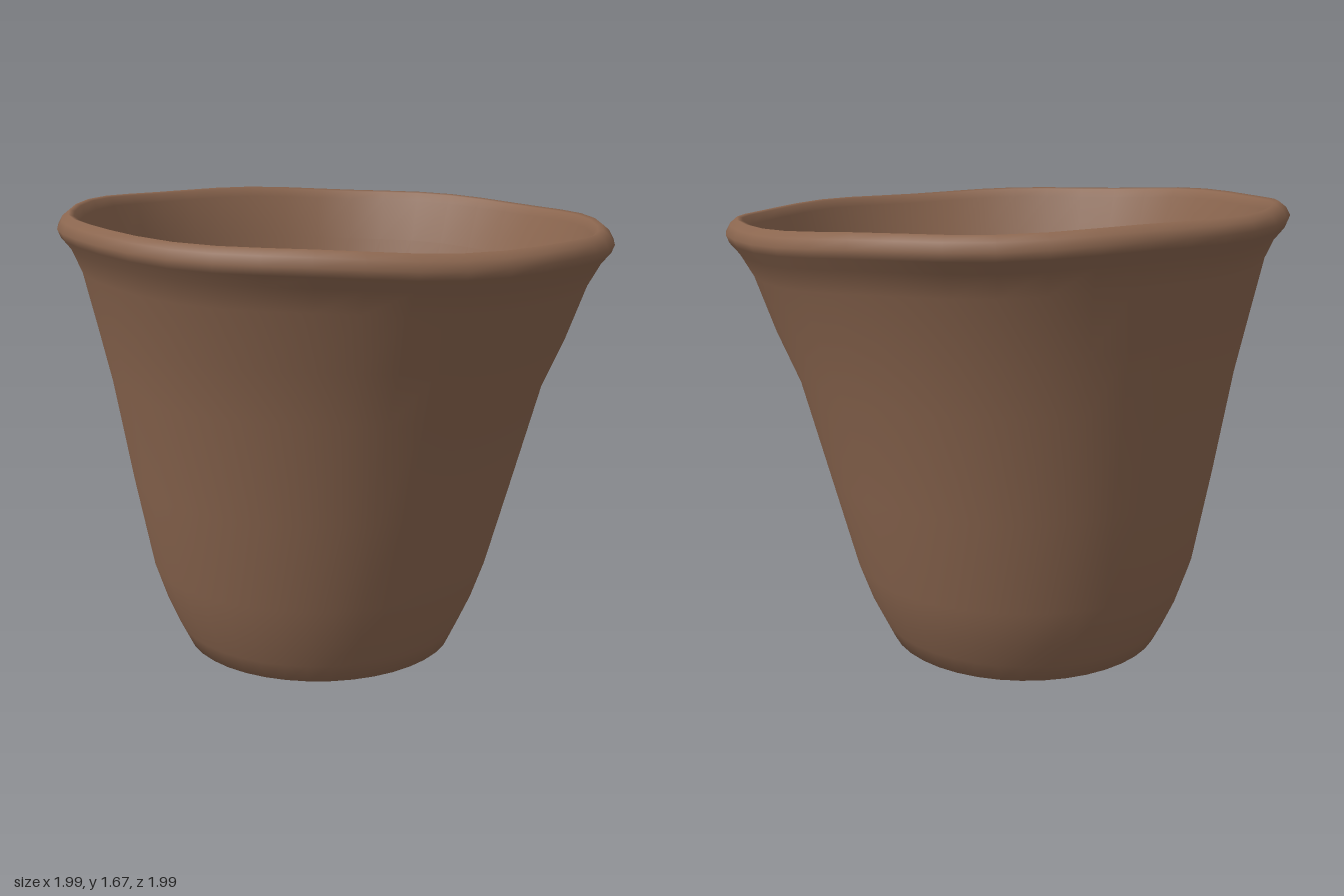
import * as THREE from 'three';

const SEGMENTS = 40;

// Rings of the pot wall: [radius, height, centre x, centre z, lean of the rim]
const RINGS = [
  // underside, from the drain hole outward
  [0.036, 0.035, -0.18, 0.03, 0],
  [0.085, 0.012, -0.17, 0.02, 0],
  [0.26, 0.003, -0.09, -0.02, 0],
  [0.43, 0.0, -0.05, -0.05, 0],
  // outer wall, upward
  [0.51, 0.018, -0.05, -0.05, 0],
  [0.545, 0.09, -0.05, -0.052, 0],
  [0.59, 0.19, -0.047, -0.055, 0],
  [0.638, 0.33, -0.045, -0.055, 0],
  [0.715, 0.67, -0.037, -0.04, 0.2],
  [0.795, 1.04, -0.025, -0.025, 0.5],
  [0.855, 1.23, -0.012, -0.012, 0.8],
  [0.912, 1.43, -0.005, 0, 1],
  [0.952, 1.51, 0, 0, 1],
  // rolled rim
  [0.985, 1.55, 0, 0, 1],
  [0.996, 1.578, 0, 0, 1],
  [0.98, 1.607, 0, 0, 1],
  [0.955, 1.627, 0, 0, 1],
  [0.936, 1.622, 0, 0, 1],
  [0.922, 1.59, 0, 0, 1],
  // inner wall, downward
  [0.865, 1.43, -0.003, 0, 1],
  [0.745, 1.04, -0.022, -0.025, 0.5],
  [0.665, 0.67, -0.034, -0.04, 0.2],
  [0.585, 0.33, -0.035, -0.055, 0],
  [0.525, 0.16, -0.03, -0.055, 0],
  // floor, back to the hole
  [0.46, 0.085, -0.03, -0.05, 0],
  [0.26, 0.075, -0.09, -0.02, 0],
  [0.085, 0.068, -0.17, 0.02, 0],
  [0.036, 0.045, -0.18, 0.03, 0],
];

function createPotGeometry() {
  const positions = [];
  const indices = [];
  for (const [r, y, cx, cz, lean] of RINGS) {
    for (let j = 0; j < SEGMENTS; j++) {
      const a = (j / SEGMENTS) * Math.PI * 2;
      // hand-made unevenness, strongest at the lip
      const wobble = 0.005 * lean * Math.sin(5 * a + 0.6);
      const x = Math.cos(a) * (r + wobble);
      const z = Math.sin(a) * (r + wobble);
      const tilt = lean * (-0.017 * x - 0.036 * z + 0.004 * Math.sin(7 * a));
      positions.push(cx + x, y + tilt, cz + z);
    }
  }
  // join each ring to the next, and the last to the first through the hole
  for (let i = 0; i < RINGS.length; i++) {
    const lower = i * SEGMENTS;
    const upper = ((i + 1) % RINGS.length) * SEGMENTS;
    for (let j = 0; j < SEGMENTS; j++) {
      const k = (j + 1) % SEGMENTS;
      indices.push(lower + j, upper + j, lower + k);
      indices.push(upper + j, upper + k, lower + k);
    }
  }
  const geometry = new THREE.BufferGeometry();
  geometry.setAttribute('position', new THREE.Float32BufferAttribute(positions, 3));
  geometry.setIndex(indices);
  geometry.computeVertexNormals();
  return geometry;
}

export function createModel() {
  const group = new THREE.Group();
  group.name = 'flowerPot';
  const clay = new THREE.MeshStandardMaterial({ color: 0x8b664f });
  clay.name = 'brown clay';
  const pot = new THREE.Mesh(createPotGeometry(), clay);
  pot.name = 'potBody';
  group.add(pot);
  return group;
}
